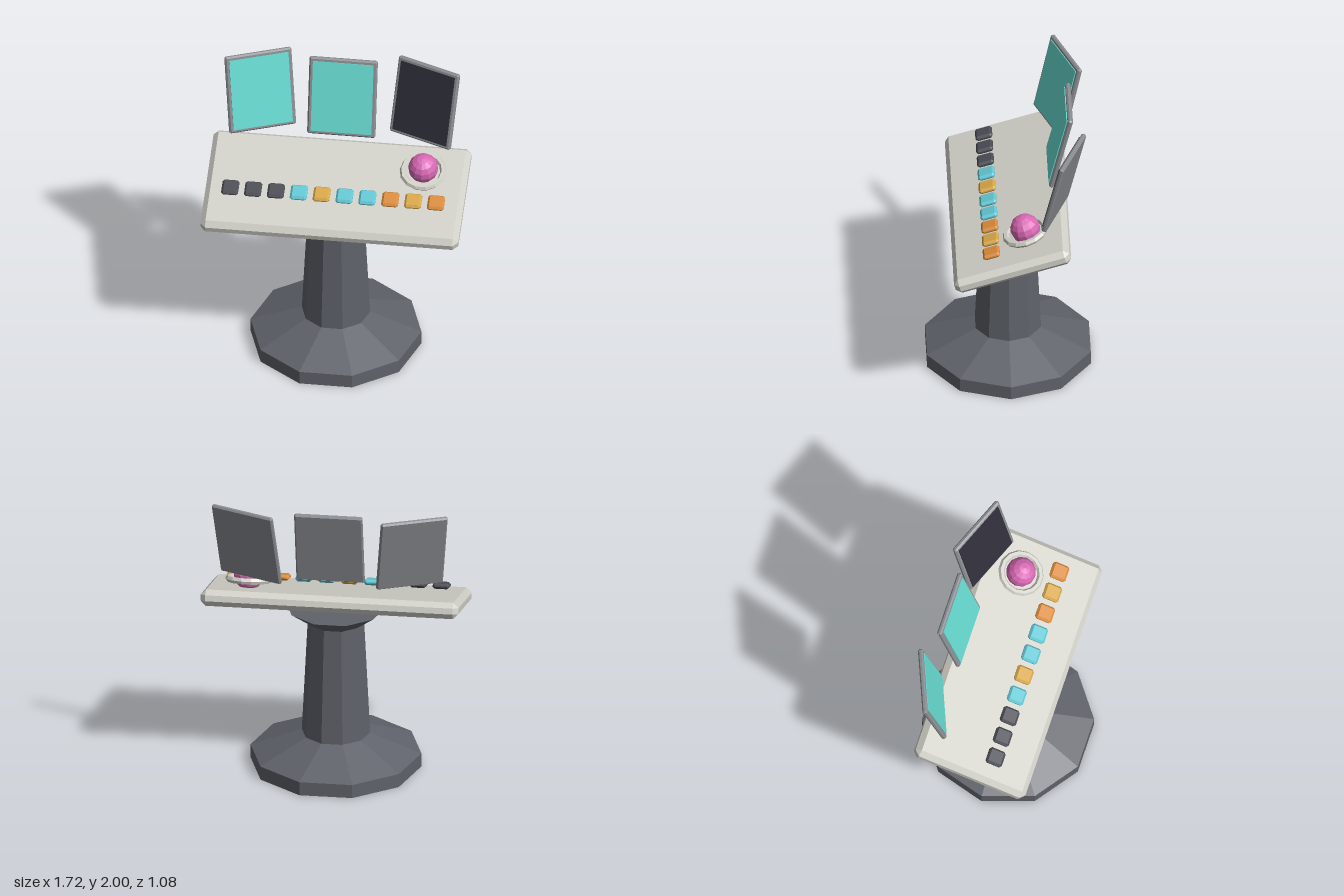
import * as THREE from 'three';
import { ConvexGeometry } from 'three/addons/geometries/ConvexGeometry.js';

const material = (name, color) => {
  const m = new THREE.MeshStandardMaterial({ color });
  m.name = name;
  return m;
};

// Gives every face its own normal
function flat(geometry) {
  const g = geometry.toNonIndexed();
  g.computeVertexNormals();
  return g;
}

// Box with every edge and corner cut by c
function chamferBox(w, h, d, c) {
  const points = [];
  for (const sx of [-1, 1]) for (const sy of [-1, 1]) for (const sz of [-1, 1]) {
    for (let axis = 0; axis < 3; axis++) {
      const p = [w / 2, h / 2, d / 2].map((v, i) => (i === axis ? v : v - c));
      points.push(new THREE.Vector3(p[0] * sx, p[1] * sy, p[2] * sz));
    }
  }
  return new ConvexGeometry(points);
}

function add(parent, name, geometry, mat, x = 0, y = 0, z = 0) {
  const mesh = new THREE.Mesh(geometry, mat);
  mesh.name = name;
  mesh.position.set(x, y, z);
  parent.add(mesh);
  return mesh;
}

export function createModel() {
  const model = new THREE.Group();
  model.name = 'controlConsole';

  const pedestalGrey = material('pedestal grey', 0x5f626a);
  const panelGrey = material('panel light grey', 0xd2d1c9);
  const frameGrey = material('frame grey', 0x8a8d92);
  const screenTeal = material('screen teal', 0x68dcd2);
  const screenDark = material('screen dark', 0x302f3a);
  const dark = material('button dark', 0x4c4d55);
  const cyan = material('button cyan', 0x62c8d4);
  const gold = material('button gold', 0xd8a848);
  const orange = material('button orange', 0xdc8c3c);
  const pink = material('ball pink', 0xd96ab5);

  // Ten-sided foot, tapering column and flared head
  const profile = [[0, 0], [0.57, 0], [0.57, 0.095], [0.228, 0.23], [0.188, 1.04], [0.335, 1.15], [0, 1.15]]
    .map(([r, y]) => new THREE.Vector2(r, y));
  add(model, 'pedestal', flat(new THREE.LatheGeometry(profile, 10, Math.PI / 2)), pedestalGrey);

  // Sloping desk; everything on it shares its tilt
  const desk = new THREE.Group();
  desk.name = 'desk';
  desk.position.y = 1.211;
  desk.rotation.x = 0.3;
  model.add(desk);
  add(desk, 'deskPanel', chamferBox(1.72, 0.11, 0.8, 0.035), panelGrey);

  // Row of buttons
  const buttonGeometry = chamferBox(0.112, 0.038, 0.115, 0.014);
  [dark, dark, dark, cyan, gold, cyan, cyan, orange, gold, orange].forEach((mat, i) => {
    add(desk, `button${i + 1}`, buttonGeometry, mat, -0.688 + i * 0.1525, 0.097, 0.112);
  });

  // Trackball in its ring
  const ring = add(desk, 'ballRing', flat(new THREE.TorusGeometry(0.135, 0.022, 6, 14)), panelGrey, 0.57, 0.107, -0.131);
  ring.rotation.x = Math.PI / 2;
  add(desk, 'trackBall', flat(new THREE.SphereGeometry(0.1, 12, 8)), pink, 0.57, 0.135, -0.139);

  // Three screens leaning back, the outer two turned inwards
  const frameGeometry = chamferBox(0.455, 0.55, 0.034, 0.01);
  const screenGeometry = new THREE.BoxGeometry(0.405, 0.5, 0.009);
  const screens = [
    ['rightScreen', -0.55, -0.35, 0.38, screenTeal],
    ['middleScreen', 0, -0.343, 0, screenTeal],
    ['leftScreen', 0.55, -0.35, -0.38, screenDark],
  ];
  for (const [name, x, z, yaw, mat] of screens) {
    const screen = new THREE.Group();
    screen.name = name;
    screen.position.set(x, 1.728, z);
    screen.rotation.set(-0.24, yaw, 0, 'YXZ');
    add(screen, 'frame', frameGeometry, frameGrey);
    add(screen, 'display', screenGeometry, mat, 0, 0, 0.019);
    model.add(screen);
  }

  return model;
}
